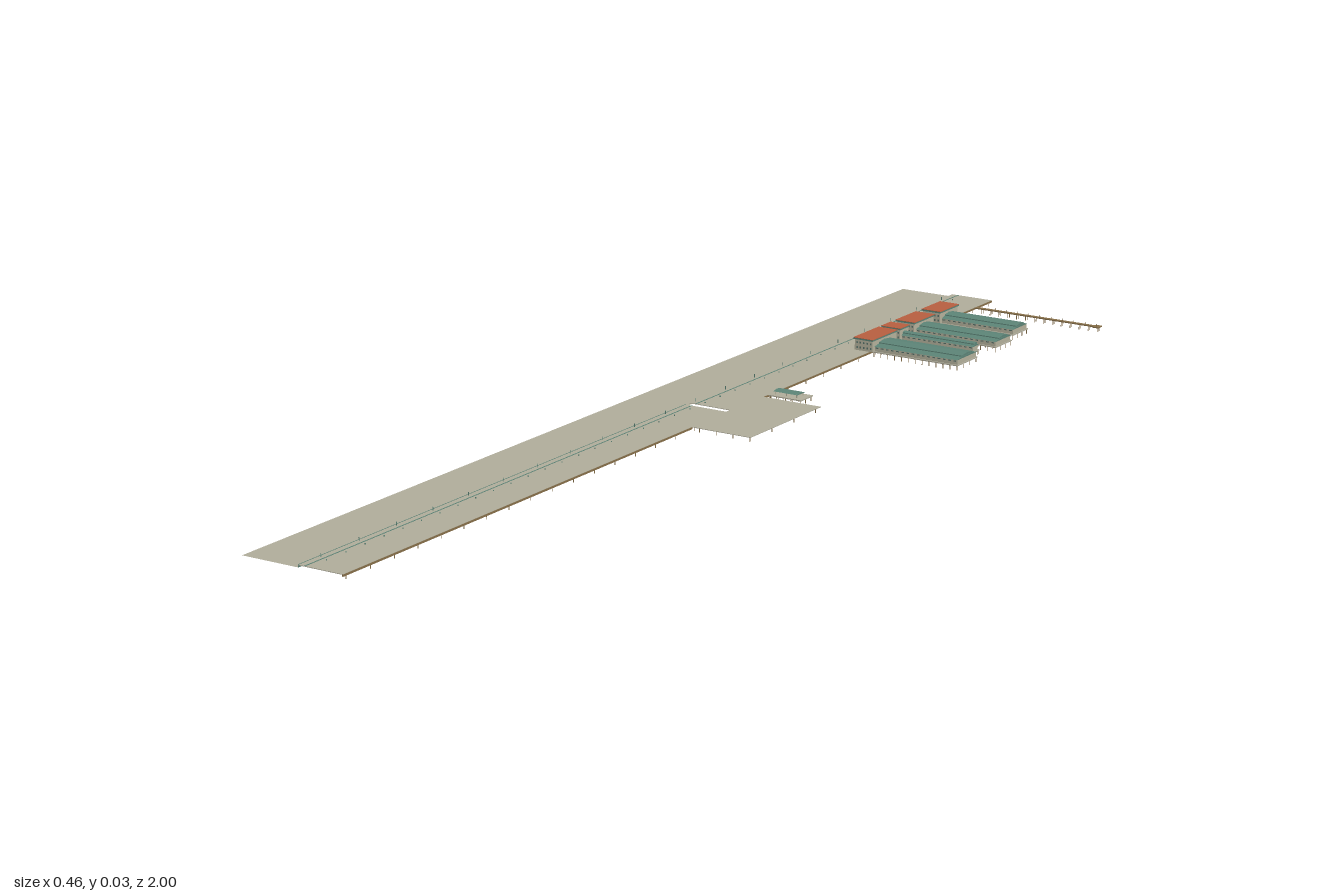
import * as THREE from 'three';
import { mergeGeometries } from 'three/addons/utils/BufferGeometryUtils.js';

const mat = (name, color) => {
  const m = new THREE.MeshStandardMaterial({ color, side: THREE.DoubleSide, flatShading: true });
  m.name = name;
  return m;
};

export function createModel() {
  const paving = mat('paving', 0xb0ad9b);
  const teal = mat('tealRoof', 0x5c8477);
  const tile = mat('terracottaRoof', 0xb85f40);
  const wall = mat('paleWall', 0xb5b29c);
  const timber = mat('timber', 0x88704a);
  const glass = mat('greyGlass', 0x57716a);

  const root = new THREE.Group();
  root.name = 'waterfront';
  const DECK = 0.0105; // walking level

  const box = (x0, x1, y0, y1, z0, z1) =>
    new THREE.BoxGeometry(x1 - x0, y1 - y0, z1 - z0)
      .translate((x0 + x1) / 2, (y0 + y1) / 2, (z0 + z1) / 2);
  const add = (parent, name, material, parts) => {
    const m = new THREE.Mesh(mergeGeometries(parts.map((p) => (p.index ? p.toNonIndexed() : p))), material);
    m.name = name;
    parent.add(m);
  };
  const post = (x, z, y0, y1, r) =>
    new THREE.CylinderGeometry(r, r, y1 - y0, 5).translate(x, (y0 + y1) / 2, z);
  // Cross-section in (z, y) extruded along x
  const prism = (x0, x1, pts) => {
    const s = new THREE.Shape(pts.map(([z, y]) => new THREE.Vector2(-z, y)));
    return new THREE.ExtrudeGeometry(s, { depth: x1 - x0, bevelEnabled: false })
      .rotateY(Math.PI / 2).translate(x0, 0, 0);
  };
  // Grid of piles below a rectangle
  const piles = (x0, x1, z0, z1, stepX, rows) => {
    const out = [];
    const n = Math.max(1, Math.round((x1 - x0) / stepX));
    for (let i = 0; i <= n; i++)
      for (let j = 0; j < rows; j++)
        out.push(post(x0 + (x1 - x0) * i / n, z0 + (z1 - z0) * j / (rows - 1), 0, DECK - 0.001, 0.0007));
    return out;
  };

  // Street slightly below the raised promenade
  add(root, 'street', paving, [
    new THREE.PlaneGeometry(0.109, 2).rotateX(-Math.PI / 2).translate(-0.1775, 0.006, 0),
  ]);

  // Promenade in two lengths with a gap between, and the square landing
  add(root, 'promenade', paving, [
    box(-0.122, -0.035, DECK - 0.001, DECK, -1, -0.083),
    box(-0.122, -0.035, DECK - 0.001, DECK, -0.07, 1),
    box(-0.038, 0.083, DECK - 0.001, DECK, -0.186, 0.041),
  ]);
  // Kerb line and rail along the inner edge
  add(root, 'kerb', teal, [
    box(-0.1095, -0.1075, DECK, DECK + 0.0005, -1, -0.083),
    box(-0.1095, -0.1075, DECK, DECK + 0.0005, -0.07, 1),
    box(-0.122, -0.121, 0.006, DECK + 0.0005, -0.07, 1),
  ]);
  // Lamp posts and low bollards
  const lamps = [];
  for (let z = -0.95; z < 0.97; z += 0.095) lamps.push(post(-0.117, z, DECK, 0.0165, 0.0006));
  for (let z = -0.96; z < 0.97; z += 0.048) lamps.push(post(-0.098, z, DECK, 0.0125, 0.001));
  add(root, 'lampPosts', teal, lamps);
  // Timber bulkhead edge and its piles
  const edge = [
    box(-0.0365, -0.0345, 0.0065, DECK - 0.0005, -1, -0.186),
    box(-0.0365, -0.0345, 0.0065, DECK - 0.0005, 0.041, 1),
  ];
  for (let z = -0.99; z < 1; z += 0.06) edge.push(post(-0.037, z, 0, DECK - 0.001, 0.0007));
  add(root, 'bulkhead', timber, edge);
  add(root, 'landingPiles', timber, piles(-0.025, 0.077, -0.178, 0.033, 0.034, 4));

  // Pier with a head house, a long shed and a raised ridge
  const makePier = (name, zc, shedW, headW, xEnd) => {
    const g = new THREE.Group();
    g.name = name;
    const h = shedW / 2, k = headW / 2;
    const x0 = -0.03, eave = 0.0195, c = h * 0.55;
    add(g, 'pierDeck', paving, [box(-0.035, xEnd + 0.002, DECK - 0.002, DECK, -h - 0.002, h + 0.002)]);
    add(g, 'pierPiles', timber, piles(-0.03, xEnd, -h, h, 0.015, shedW > 0.03 ? 4 : 2));
    add(g, 'shedWalls', wall, [box(x0, xEnd, DECK, eave, -h + 0.001, h - 0.001)]);
    add(g, 'shedRoof', teal, [
      prism(x0, xEnd + 0.001, [[-h - 0.001, eave], [h + 0.001, eave], [c, 0.0225], [-c, 0.0225]]),
      box(x0, xEnd, 0.0222, 0.0246, -c, c),
      prism(x0, xEnd + 0.001, [[-c - 0.001, 0.0245], [c + 0.001, 0.0245], [0, 0.027]]),
    ]);
    // Window bays along both sides
    const bays = [];
    const n = Math.round((xEnd - x0) / 0.011), step = (xEnd - x0) / n;
    for (let i = 0; i < n; i++)
      for (const s of [-1, 1]) {
        const z = s * (h - 0.001);
        bays.push(box(x0 + step * (i + 0.25), x0 + step * (i + 0.75), 0.016, 0.018, z - 0.0004, z + 0.0004));
      }
    add(g, 'shedWindows', glass, bays);
    // Head house with a flat tiled roof above a cornice band
    add(g, 'headHouse', wall, [box(-0.0665, -0.029, DECK, 0.031, -k + 0.002, k - 0.002)]);
    add(g, 'cornice', teal, [box(-0.068, -0.0275, 0.0308, 0.0336, -k + 0.0005, k - 0.0005)]);
    add(g, 'headRoof', tile, [box(-0.0685, -0.027, 0.0336, 0.0343, -k, k)]);
    const panes = [];
    for (const y of [0.0145, 0.0235]) {
      for (let i = 0; i < 5; i++) {
        const x = -0.063 + i * 0.0072;
        for (const s of [-1, 1])
          panes.push(box(x, x + 0.003, y, y + 0.0035, s * (k - 0.002) - 0.0004, s * (k - 0.002) + 0.0004));
      }
      const m = Math.max(2, Math.round(headW / 0.01));
      for (let i = 0; i < m; i++) {
        const z = -k + 0.004 + (headW - 0.008) * (i + 0.5) / m;
        panes.push(box(-0.0669, -0.0661, y, y + 0.0035, z - 0.0018, z + 0.0018));
      }
    }
    add(g, 'headWindows', glass, panes);
    g.position.z = zc;
    root.add(g);
  };
  makePier('widePier', -0.589, 0.07, 0.09, 0.144);
  makePier('narrowPier', -0.66, 0.019, 0.035, 0.122);
  makePier('middlePier', -0.732, 0.057, 0.075, 0.139);
  makePier('endPier', -0.825, 0.053, 0.07, 0.123);

  // Small covered jetty
  const jetty = new THREE.Group();
  jetty.name = 'smallJetty';
  add(jetty, 'jettyDeck', paving, [box(-0.035, 0.033, DECK - 0.002, DECK, -0.02, 0.02)]);
  add(jetty, 'jettyPiles', timber, piles(-0.03, 0.03, -0.018, 0.018, 0.015, 3));
  const columns = [];
  for (const x of [-0.026, -0.003, 0.018]) for (const z of [-0.01, 0.01])
    columns.push(post(x, z, DECK, 0.0165, 0.001));
  add(jetty, 'jettyColumns', wall, columns);
  add(jetty, 'jettyRoof', teal, [
    prism(-0.029, 0.021, [[-0.0125, 0.016], [0.0125, 0.016], [0, 0.0185]]),
  ]);
  jetty.position.z = -0.221;
  root.add(jetty);

  // Long slender fishing pier
  const slim = new THREE.Group();
  slim.name = 'slenderPier';
  add(slim, 'slenderDeck', timber, [
    box(-0.035, 0.222, DECK - 0.002, DECK, -0.004, 0.004),
    box(0.219, 0.232, DECK - 0.002, DECK, -0.008, 0.008),
  ]);
  add(slim, 'slenderPiles', timber, piles(-0.02, 0.228, -0.0035, 0.0035, 0.0185, 2));
  const posts = [];
  for (let x = 0.01; x < 0.23; x += 0.024) posts.push(post(x, 0.003, DECK, 0.0155, 0.0005));
  add(slim, 'slenderPosts', timber, posts);
  slim.position.z = -0.937;
  root.add(slim);

  return root;
}
